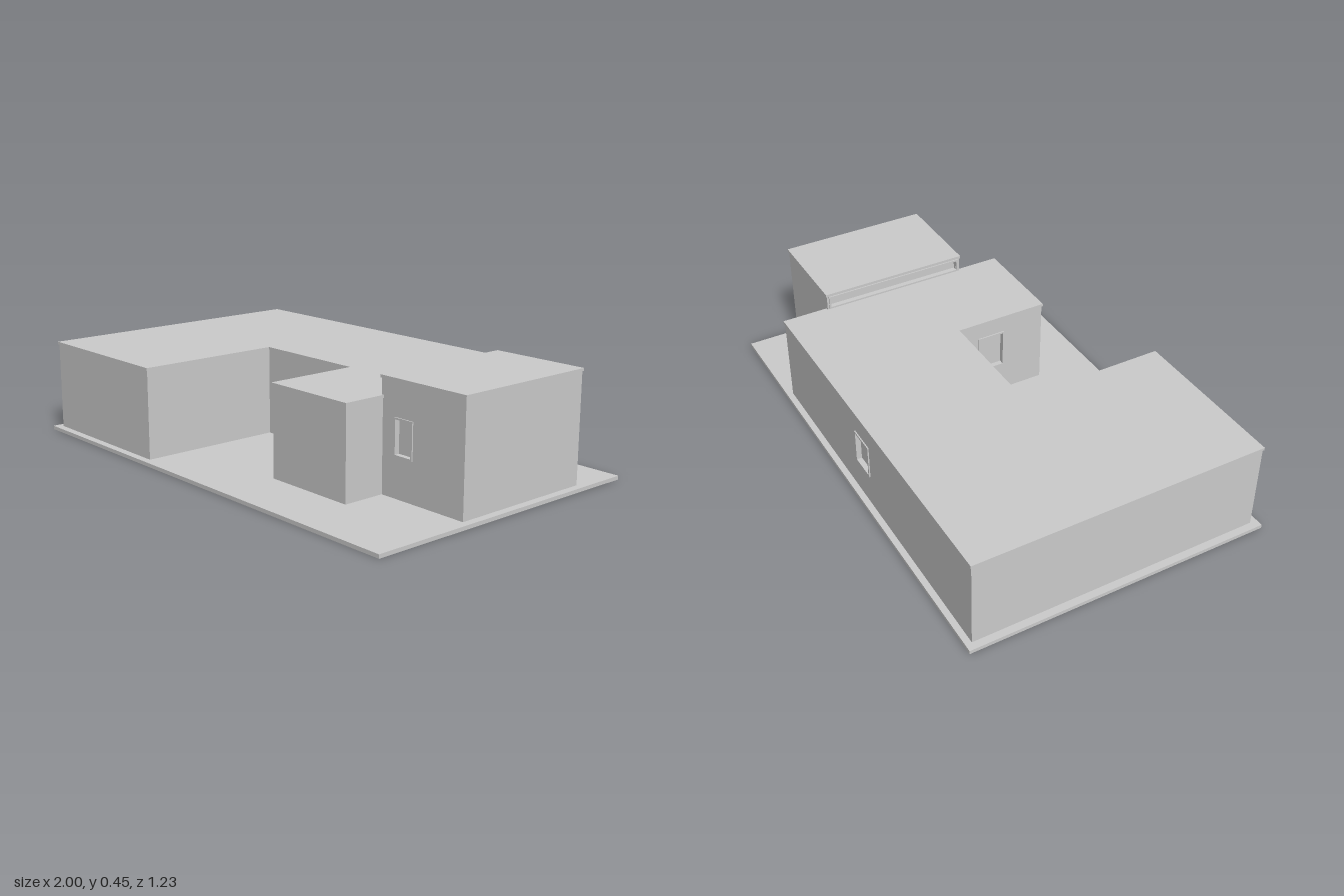
import * as THREE from 'three';

const BASE = 0.015, THICK = 0.016, EAVE = 0.004, FRAME = 0.007, ROOF = 0.011;

export function createModel() {
  const model = new THREE.Group();
  model.name = 'house';
  const plaster = new THREE.MeshStandardMaterial({ color: 0xcccccc });
  plaster.name = 'light grey';

  const add = (parent, name, geometry, x = 0, y = 0, z = 0) => {
    const mesh = new THREE.Mesh(geometry, plaster);
    mesh.name = name;
    mesh.position.set(x, y, z);
    parent.add(mesh);
    return mesh;
  };

  const box = (parent, name, x0, x1, y0, y1, z0, z1) =>
    add(parent, name, new THREE.BoxGeometry(x1 - x0, y1 - y0, z1 - z0),
      (x0 + x1) / 2, (y0 + y1) / 2, (z0 + z1) / 2);

  const rectangle = (Type, x0, x1, y0, y1) => new Type([
    [x0, y0], [x1, y0], [x1, y1], [x0, y1]].map(([x, y]) => new THREE.Vector2(x, y)));

  // One wall in its own frame: x along the wall, z outward
  const addWall = (parent, [ax, az], [bx, bz], top, openings) => {
    const wall = new THREE.Group();
    wall.name = 'wall';
    wall.position.set(ax, 0, az);
    wall.rotation.y = Math.atan2(az - bz, bx - ax);
    const shape = rectangle(THREE.Shape, 0, Math.hypot(bx - ax, bz - az), BASE, top);
    for (const [x0, x1, y0, y1] of openings) {
      shape.holes.push(rectangle(THREE.Path, x0, x1, y0, y1));
      // Projecting frame and recessed pane
      const back = -THICK, front = 0.005;
      box(wall, 'windowFrameSide', x0, x0 + FRAME, y0, y1, back, front);
      box(wall, 'windowFrameSide', x1 - FRAME, x1, y0, y1, back, front);
      box(wall, 'windowFrameSill', x0 + FRAME, x1 - FRAME, y0, y0 + FRAME, back, front);
      box(wall, 'windowFrameHead', x0 + FRAME, x1 - FRAME, y1 - FRAME, y1, back, front);
      box(wall, 'windowPane', x0, x1, y0, y1, back - 0.004, back);
    }
    add(wall, 'wallPanel',
      new THREE.ExtrudeGeometry(shape, { depth: THICK, bevelEnabled: false }), 0, 0, -THICK);
    parent.add(wall);
  };

  // Walls round a right-angled footprint, with an overhanging flat roof
  const addBuilding = (name, points, height, windows) => {
    const building = new THREE.Group();
    building.name = name;
    const n = points.length;
    const normal = (i) => {
      const [ax, az] = points[i % n], [bx, bz] = points[(i + 1) % n];
      return [-Math.sign(bz - az), Math.sign(bx - ax)];
    };
    const outline = points.map(([x, z], i) => {
      const p = normal(i + n - 1), q = normal(i);
      return new THREE.Vector2(x + EAVE * (p[0] + q[0]), -(z + EAVE * (p[1] + q[1])));
    });
    points.forEach((p, i) =>
      addWall(building, p, points[(i + 1) % n], height - ROOF, windows[i] || []));
    const roof = new THREE.ExtrudeGeometry(new THREE.Shape(outline),
      { depth: ROOF, bevelEnabled: false }).rotateX(-Math.PI / 2);
    add(building, 'roof', roof, 0, height - ROOF, 0);
    model.add(building);
  };

  // Ground slab
  box(model, 'groundSlab', -1, 1, 0, BASE, -0.615, 0.615);

  // U-shaped main building round a courtyard
  addBuilding('mainBuilding', [
    [-0.97, 0.585], [-0.314, 0.585], [-0.314, -0.013], [0.186, -0.013],
    [0.186, 0.374], [0.58, 0.374], [0.58, -0.59], [-0.97, -0.59]], 0.38, {
    3: [[0.09, 0.21, 0.14, 0.305]],
    6: [[0.66, 0.775, 0.15, 0.29]],
  });

  // Taller side block with a long window strip above the main roof
  addBuilding('tallBlock', [
    [0.574, 0.2], [0.97, 0.2], [0.97, -0.405], [0.574, -0.405]], 0.452, {
    0: [[0.066, 0.156, 0.17, 0.312]],
    3: [[0.008, 0.597, 0.383, 0.438]],
  });

  return model;
}
